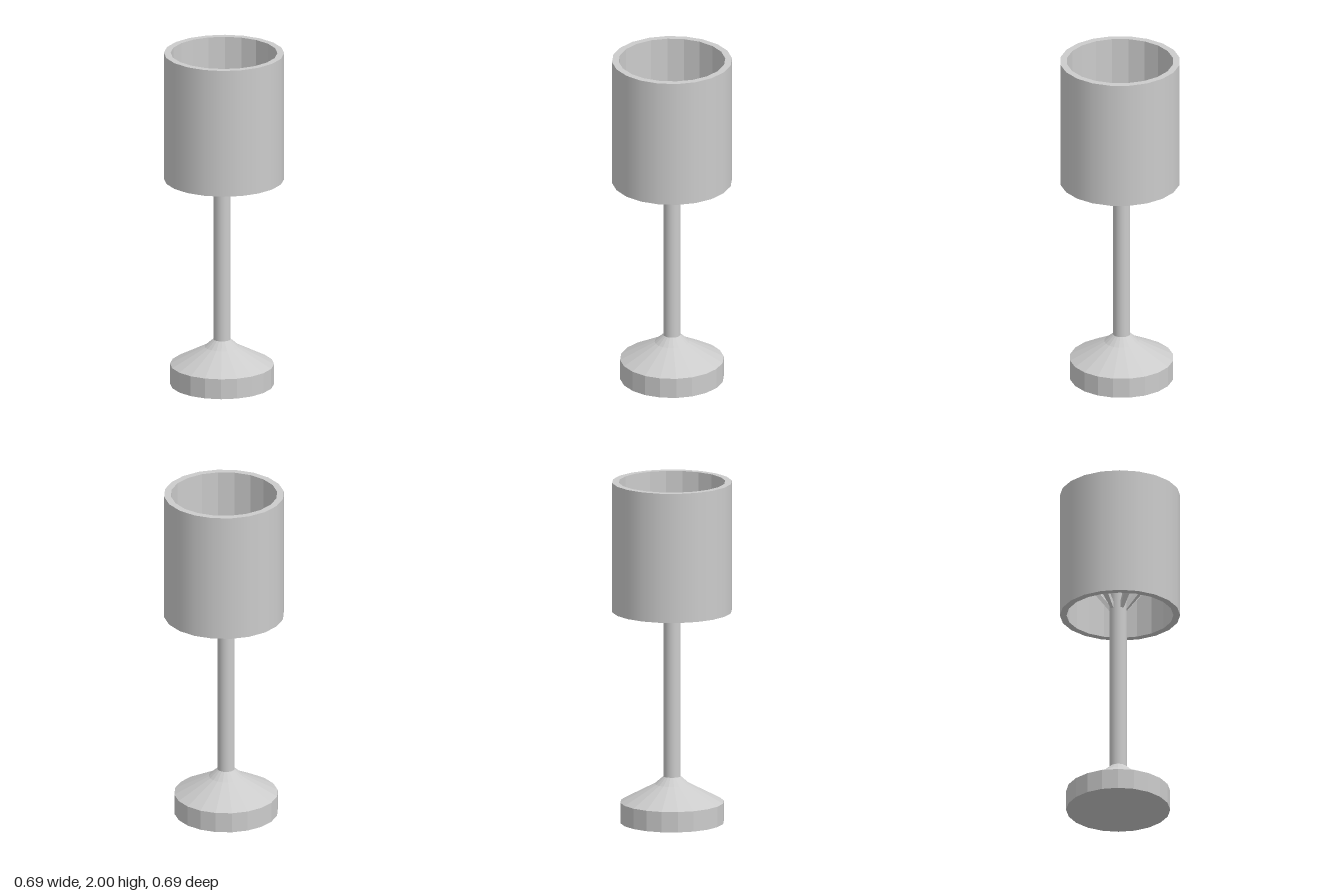
import * as THREE from 'three';
import { ConvexGeometry } from 'three/addons/geometries/ConvexGeometry.js';

const SIDES = 20;
const smooth = new THREE.MeshStandardMaterial({ color: 0xcccccc, side: THREE.DoubleSide });
const faceted = new THREE.MeshStandardMaterial({ color: 0xcccccc, flatShading: true });

// Lathe a list of [radius, height] pairs; upward points face outward.
const turn = (profile) =>
  new THREE.LatheGeometry(profile.map(([r, y]) => new THREE.Vector2(r, y)), SIDES);

export function createModel() {
  const model = new THREE.Group();
  const add = (name, geometry, material, x = 0, y = 0, z = 0) => {
    const mesh = new THREE.Mesh(geometry, material);
    mesh.name = name;
    mesh.position.set(x, y, z);
    model.add(mesh);
    return mesh;
  };

  // The stand sits slightly off the axis of the shade.
  const cx = -0.003, cz = -0.012;

  // Weighted foot with a sloping top
  add('base', turn([[0, 0], [0.3, 0], [0.3, 0.12], [0.1, 0.226], [0.05, 0.27], [0, 0.27]]), faceted, cx, 0, cz);

  // Pole running up to the bulb
  add('pole', new THREE.CylinderGeometry(0.05, 0.05, 1.18, SIDES), smooth, cx, 0.26 + 0.59, cz);

  // Bulb and its narrow socket
  add('socket', new THREE.CylinderGeometry(0.05, 0.05, 0.04, SIDES), smooth, cx, 1.45, cz);
  add('bulb', new THREE.SphereGeometry(0.127, SIDES, 14), smooth, -0.005, 1.56, -0.018);

  // Shade: smooth outer wall, faceted inner wall and flat rims
  const bottom = 1.24, top = 2, outer = 0.347, inner = 0.308;
  add('shadeOuterWall', turn([[outer, bottom], [outer, top]]), smooth);
  add('shadeInnerWall', turn([[outer, top], [inner, top], [inner, bottom], [outer, bottom]]), faceted);

  // Ring inside the shade that carries the spokes
  const ringTop = 1.6, ringLow = 1.56, ringRadius = 0.276;
  add('supportRing', turn([
    [inner, ringTop], [ringRadius, ringTop], [ringRadius, ringLow], [inner, ringLow],
  ]), faceted);

  // Six tapered spokes, each one ring facet wide, sloping down to the pole
  const step = (2 * Math.PI) / SIDES;
  for (const facet of [0, 3, 6, 9, 13, 17]) {
    const points = [];
    for (const side of [-0.5, 0.5]) {
      const mid = (facet + 0.5) * step;
      const a = mid + side * step;
      for (const y of [ringLow, ringTop]) {
        points.push(new THREE.Vector3(ringRadius * Math.cos(a), y, ringRadius * Math.sin(a)));
      }
      const b = mid + side * step * 1.3;
      for (const y of [1.26, 1.3]) {
        points.push(new THREE.Vector3(cx + 0.045 * Math.cos(b), y, cz + 0.045 * Math.sin(b)));
      }
    }
    add('spoke', new ConvexGeometry(points), faceted);
  }

  return model;
}
